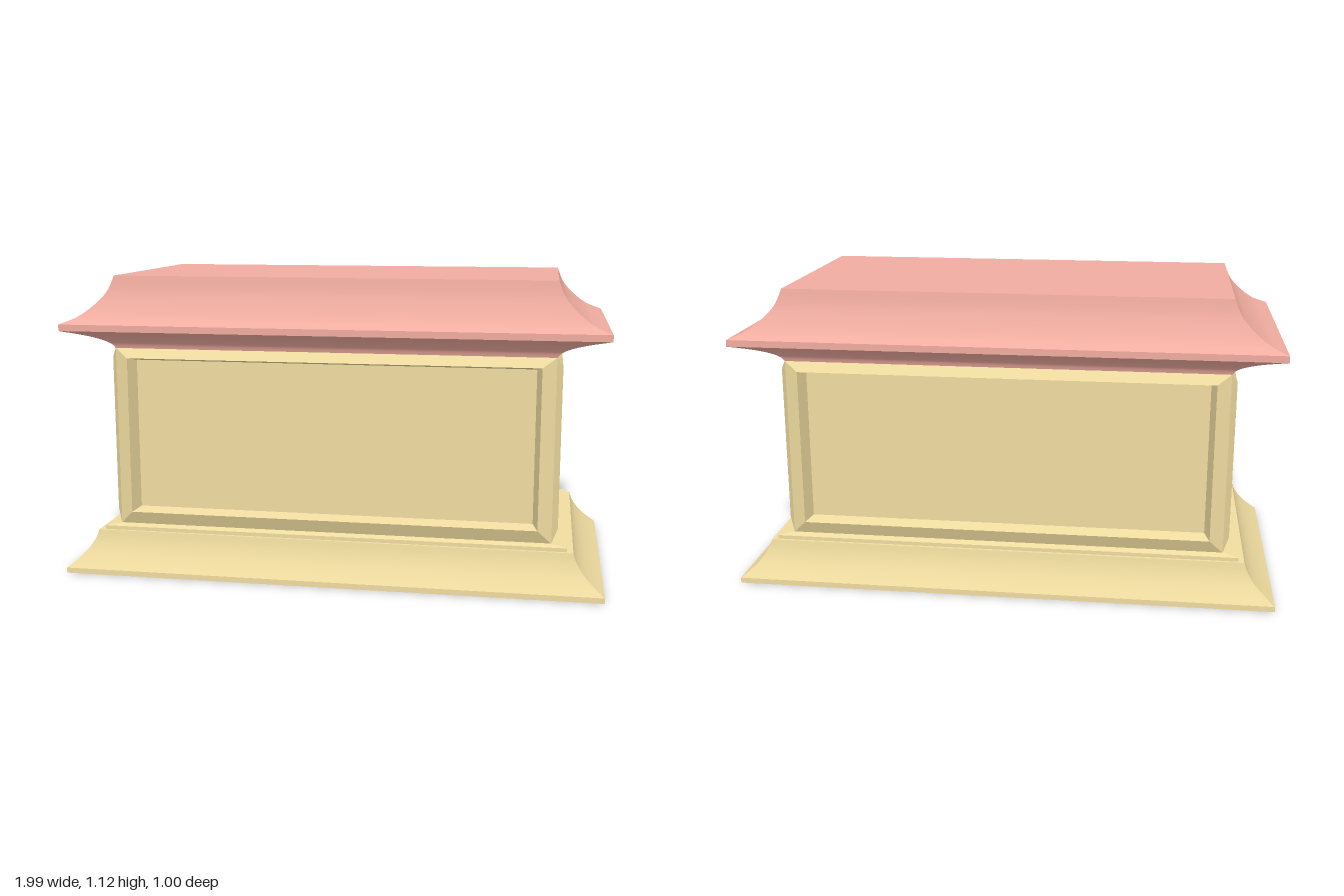
import * as THREE from 'three';

// Rectangular loft along +z. Each section is a smooth run of rings
// [halfWidth, halfHeight, depth, centreY]; sections and mitres stay sharp.
function loft(sections) {
  const pos = [], idx = [];
  const corners = ([w, h, d, cy = 0]) => [
    [-w, cy - h, d], [w, cy - h, d], [w, cy + h, d], [-w, cy + h, d],
  ];
  for (const rings of sections) {
    for (let side = 0; side < 4; side++) {
      const base = pos.length / 3;
      rings.forEach((ring, i) => {
        const c = corners(ring);
        pos.push(...c[side], ...c[(side + 1) % 4]);
        if (i > 0) {
          const a = base + 2 * (i - 1);
          idx.push(a, a + 1, a + 3, a, a + 3, a + 2);
        }
      });
    }
  }
  const g = new THREE.BufferGeometry();
  g.setAttribute('position', new THREE.Float32BufferAttribute(pos, 3));
  g.setIndex(idx);
  g.computeVertexNormals();
  return g;
}

// Horizontal moulding from [halfDepth, y] profiles; it is twice as wide as deep
function moulding(sections) {
  return loft(sections.map((s) => s.map(([r, y]) => [2 * r, r, y]))).rotateX(-Math.PI / 2);
}

// Smooth curve through a few profile points
function smooth(points, n = 14) {
  const curve = new THREE.SplineCurve(points.map(([r, y]) => new THREE.Vector2(r, y)));
  return curve.getPoints(n).map((p) => [p.x, p.y]);
}

// Wall with a raised bevelled frame around a recessed panel
function panelWall(halfW, dist) {
  const outer = [halfW, 0.335, dist, 0.515];
  const ridge = [halfW - 0.05 + 0.023 * (halfW < 0.5), 0.2925, dist + 0.022, 0.5225];
  const inner = [ridge[0] - 0.018, 0.281, dist - 0.033, 0.522];
  const middle = [0, 0, dist - 0.033, 0.522];
  return loft([[outer, ridge], [ridge, inner], [inner, middle]]);
}

export function createModel() {
  const model = new THREE.Group();
  const stone = new THREE.MeshStandardMaterial({ color: 0xf0dca0 });
  const lidMaterial = new THREE.MeshStandardMaterial({ color: 0xf0aca0 });
  const add = (parent, name, geometry, material) => {
    const mesh = new THREE.Mesh(geometry, material);
    mesh.name = name;
    parent.add(mesh);
    return mesh;
  };

  // Flared plinth with a concave side
  add(model, 'plinth', moulding([
    [[0, 0], [0.498, 0]],
    [[0.498, 0], [0.498, 0.02]],
    smooth([[0.498, 0.02], [0.478, 0.053], [0.46, 0.09], [0.448, 0.127], [0.442, 0.16]]),
    [[0.442, 0.16], [0, 0.16]],
  ]), stone);

  // Thin step under the body
  add(model, 'step', moulding([
    [[0.431, 0.16], [0.431, 0.174]],
    [[0.431, 0.174], [0.403, 0.181]],
    [[0.403, 0.181], [0, 0.181]],
  ]), stone);

  // Body: four panelled walls
  const body = new THREE.Group();
  body.name = 'body';
  model.add(body);
  ['frontWall', 'leftWall', 'backWall', 'rightWall'].forEach((name, i) => {
    const long = i % 2 === 0;
    const geometry = panelWall(long ? 0.806 : 0.403, long ? 0.403 : 0.806);
    add(body, name, geometry, stone).rotation.y = (i * Math.PI) / 2;
  });

  // Lid: flared underside, thin rim, concave upper slope, flat top
  add(model, 'lid', moulding([
    [[0, 0.85], [0.403, 0.85]],
    smooth([[0.403, 0.85], [0.411, 0.868], [0.431, 0.887], [0.46, 0.904], [0.494, 0.919]]),
    [[0.494, 0.919], [0.494, 0.943]],
    smooth([[0.494, 0.943], [0.463, 0.969], [0.436, 1.01], [0.414, 1.06], [0.402, 1.117]]),
    [[0.402, 1.117], [0, 1.117]],
  ]), lidMaterial);

  return model;
}
